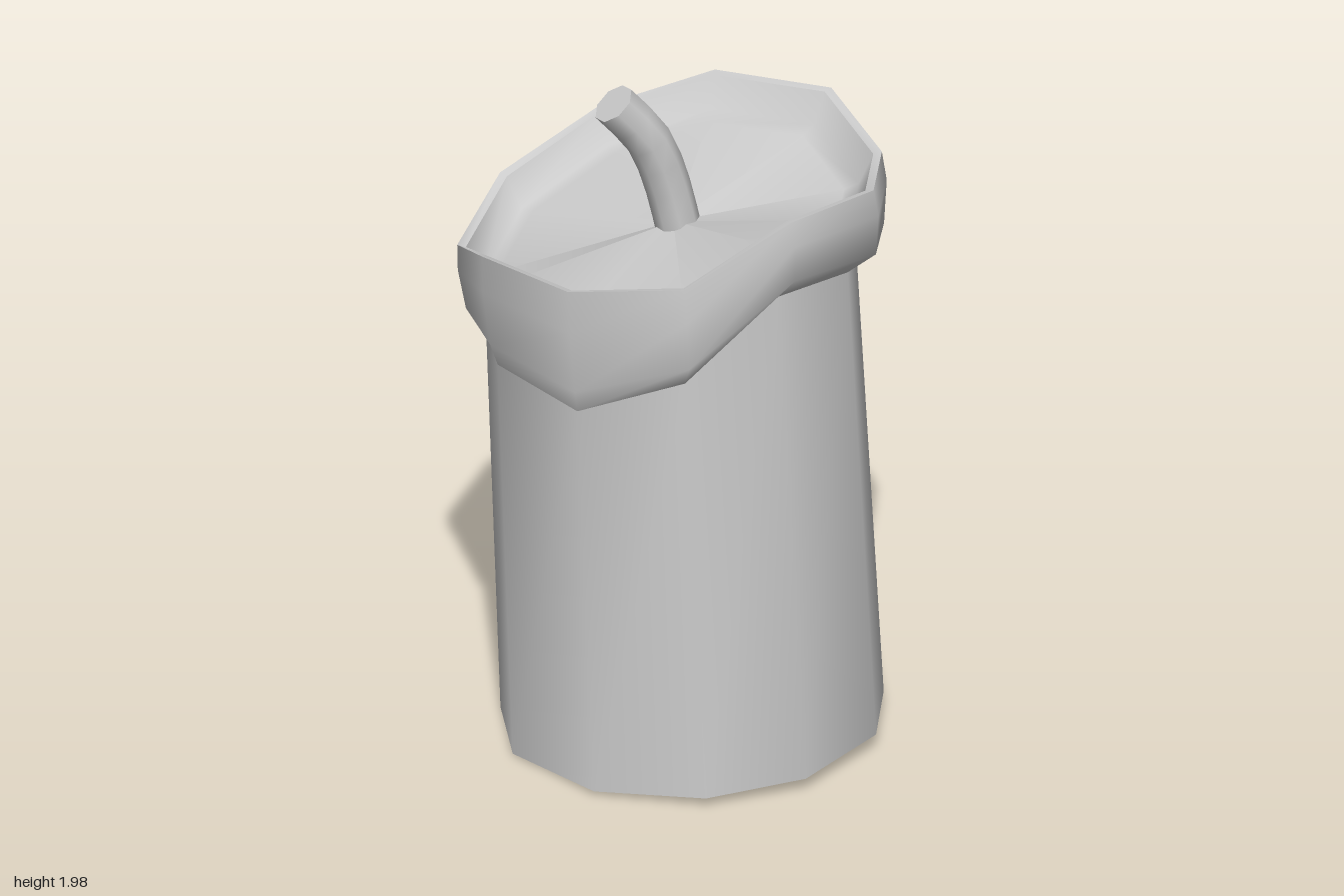
import * as THREE from 'three';

const SIDES = 11;
// outline of the dripping collar: x, z, rim height, height of the bulge's lower edge
const outline = [
  [0.17, -0.57, 1.78, 1.52], [0.44, -0.42, 1.715, 1.5], [0.59, -0.15, 1.745, 1.55],
  [0.55, 0.21, 1.78, 1.6], [0.36, 0.47, 1.625, 1.38], [0.03, 0.565, 1.57, 1.26],
  [-0.32, 0.475, 1.55, 1.28], [-0.555, 0.245, 1.43, 1.24], [-0.595, -0.035, 1.53, 1.31],
  [-0.46, -0.33, 1.65, 1.41], [-0.19, -0.52, 1.76, 1.5],
];

const material = () => new THREE.MeshStandardMaterial({ color: 0xcccccc, side: THREE.DoubleSide });

// skin closed rings of points, listed from bottom to top (or outside to inside)
function loft(name, rings) {
  const index = [];
  for (let i = 0; i < rings.length - 1; i++) {
    for (let j = 0; j < SIDES; j++) {
      const a = i * SIDES + j, b = i * SIDES + (j + 1) % SIDES;
      index.push(a, a + SIDES, b, b, a + SIDES, b + SIDES);
    }
  }
  const geometry = new THREE.BufferGeometry().setFromPoints(rings.flat());
  geometry.setIndex(index);
  geometry.computeVertexNormals();
  const mesh = new THREE.Mesh(geometry, material());
  mesh.name = name;
  return mesh;
}

// a point on the slightly leaning, tapering wall
function wallPoint([x, z], y) {
  const angle = Math.atan2(z, x), r = 0.54 - 0.01 * y;
  return new THREE.Vector3(0.05 - 0.038 * y + r * Math.cos(angle), y, -0.03 + 0.022 * y + r * Math.sin(angle));
}

// a collar point: outline scaled and shifted sideways
const ring = (scale, dx, height) =>
  outline.map((p) => new THREE.Vector3(p[0] * scale + dx, height(p), p[1] * scale));

export function createModel() {
  const group = new THREE.Group();

  // leaning candle wall, open underneath
  const base = outline.map((p) => {
    const v = wallPoint(p, 0);
    v.y = 0.028 + 0.038 * v.x - 0.022 * v.z;
    return v;
  });
  const wallTop = outline.map((p) => wallPoint(p, p[3] - 0.07));
  group.add(loft('candleBody', [base, wallTop]));

  // bulging wax collar
  const rim = ring(0.985, -0.006, (p) => p[2]);
  group.add(loft('collar', [
    wallTop,
    ring(0.97, 0.012, (p) => p[3]),
    ring(0.995, 0.003, (p) => p[3] * 0.4 + p[2] * 0.6),
    rim,
  ]));

  // rim lip, inner wall and dished wax surface
  group.add(loft('rim', [rim, ring(0.945, -0.006, (p) => p[2] - 0.005)]));
  group.add(loft('meltedWax', [
    ring(0.945, -0.006, (p) => p[2] - 0.005),
    ring(0.87, 0, (p) => p[2] - 0.09),
    ring(0.8, 0, (p) => p[2] * 0.88 + 0.1),
    outline.map(() => new THREE.Vector3(0, 1.55, -0.01)),
  ]));

  // bent wick with a flat end
  const path = new THREE.CatmullRomCurve3([
    new THREE.Vector3(0.015, 1.5, -0.025), new THREE.Vector3(-0.01, 1.67, 0.005),
    new THREE.Vector3(-0.04, 1.82, 0.055), new THREE.Vector3(-0.1, 1.948, 0.14),
  ]);
  const wick = new THREE.Group();
  wick.name = 'wick';
  const stem = new THREE.Mesh(new THREE.TubeGeometry(path, 6, 0.064, 8), material());
  stem.name = 'wickStem';
  const tip = new THREE.Mesh(new THREE.CircleGeometry(0.064, 8), material());
  tip.name = 'wickTip';
  // align the end disc with the last ring of the tube
  const frames = path.computeFrenetFrames(6, false);
  tip.quaternion.setFromRotationMatrix(new THREE.Matrix4().makeBasis(
    frames.binormals[6].clone().negate(), frames.normals[6], frames.tangents[6]));
  if (new THREE.Vector3(0, 0, 1).applyQuaternion(tip.quaternion).dot(frames.tangents[6]) < 0.9) {
    tip.quaternion.setFromUnitVectors(new THREE.Vector3(0, 0, 1), frames.tangents[6]);
  }
  tip.position.copy(path.getPoint(1));
  wick.add(stem, tip);
  group.add(wick);

  return group;
}
